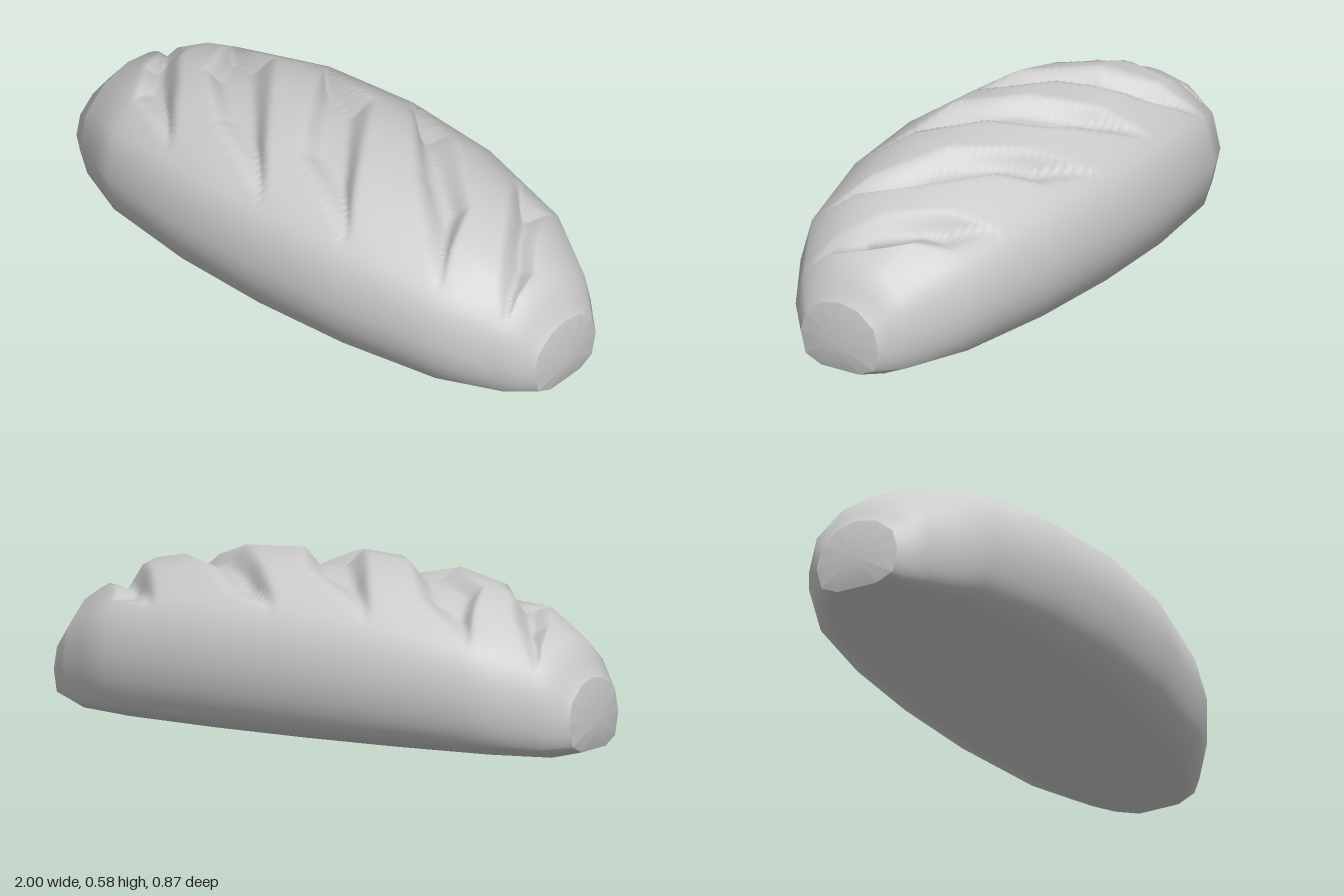
import * as THREE from 'three';

// Cross-section at the middle of the loaf: z, y (closed ring, flat base)
const SECTION = [
  [0.21, 0], [0.38, 0.065], [0.435, 0.25], [0.38, 0.43], [0.2, 0.55], [0, 0.585],
  [-0.2, 0.55], [-0.38, 0.43], [-0.435, 0.25], [-0.38, 0.065], [-0.21, 0],
].map(([z, y]) => new THREE.Vector3(z / 0.435, y / 0.585, 0));

// Half of the length: x, half width, top height
const HALF = [[0.34, 0.415, 0.565], [0.68, 0.345, 0.49], [0.88, 0.23, 0.375], [0.97, 0.15, 0.255]];
const STATIONS = [
  ...HALF.map(([x, w, t]) => [-x, w, t]).reverse(), [0, 0.435, 0.585], ...HALF,
].map((p) => new THREE.Vector3(...p));

// Slash outlines in plan: x, z
const SLASHES = [
  [[-0.88, -0.2], [-0.74, -0.1], [-0.43, 0.33], [-0.7, 0.19], [-0.81, 0.02]],
  [[-0.68, -0.3], [-0.43, -0.2], [0, 0.37], [-0.34, 0.2], [-0.56, 0]],
  [[-0.34, -0.36], [0, -0.18], [0.34, 0.35], [0, 0.18]],
  [[0, -0.38], [0.22, -0.31], [0.57, 0], [0.68, 0.29], [0.34, 0]],
  [[0.5, -0.33], [0.68, -0.26], [0.85, 0], [0.88, 0.2], [0.68, -0.06]],
];
const DEPTH = 0.06, WALL = 0.05;
const ROWS = (STATIONS.length - 1) * 32, COLS = SECTION.length * 10;

// Point on a polyline, straight or rounded, with the same parameter
function sampler(points, closed, rounded) {
  const curve = new THREE.CatmullRomCurve3(points, closed, 'catmullrom', 0.5);
  const n = closed ? points.length : points.length - 1;
  return (t) => {
    if (rounded) return curve.getPoint(t);
    const i = Math.min(Math.floor(t * n + 1e-9), n - 1);
    return points[i].clone().lerp(points[(i + 1) % points.length], t * n - i);
  };
}

// How deep the slashes cut at a plan position
function cutDepth(x, z) {
  let depth = 0;
  for (const poly of SLASHES) {
    let inside = false, dist = Infinity;
    poly.forEach(([ax, az], i) => {
      const [bx, bz] = poly[(i + 1) % poly.length];
      if ((az > z) !== (bz > z) && x < ax + (bx - ax) * (z - az) / (bz - az)) inside = !inside;
      const dx = bx - ax, dz = bz - az;
      const k = THREE.MathUtils.clamp(((x - ax) * dx + (z - az) * dz) / (dx * dx + dz * dz), 0, 1);
      dist = Math.min(dist, Math.hypot(x - ax - k * dx, z - az - k * dz));
    });
    if (inside) depth = Math.max(depth, DEPTH * Math.min(1, dist / WALL));
  }
  return depth;
}

// Loft the section along the loaf and press the slashes inwards
function loft(rounded) {
  const along = sampler(STATIONS, false, rounded), around = sampler(SECTION, true, rounded);
  const ring = Array.from({ length: COLS }, (_, j) => around(j / COLS));
  const positions = [], index = [];
  for (let i = 0; i <= ROWS; i++) {
    const { x, y: width, z: top } = along(i / ROWS);
    const base = Math.max(0, (Math.abs(x) - 0.88) / 0.09) * 0.02;
    const coreY = base + (top - base) * 0.35;
    for (let j = 0; j < COLS; j++) {
      let z = ring[j].x * width, y = base + (top - base) * ring[j].y;
      if (ring[j].y > 0.43) {
        const k = 1 - cutDepth(x, z) / Math.hypot(z, y - coreY);
        z *= k;
        y = coreY + (y - coreY) * k;
      }
      positions.push(x, y, z);
      if (i < ROWS) {
        const a = i * COLS + j, b = i * COLS + (j + 1) % COLS;
        index.push(a, a + COLS, b + COLS, a, b + COLS, b);
      }
    }
  }
  const geometry = new THREE.BufferGeometry();
  geometry.setAttribute('position', new THREE.Float32BufferAttribute(positions, 3));
  geometry.setIndex(index);
  geometry.computeVertexNormals();
  return geometry;
}

// Shallow pointed cap on one end ring
function endCap(body, side) {
  const p = body.attributes.position, start = side > 0 ? ROWS * COLS : 0;
  const positions = [side, 0.12, 0], index = [];
  for (let j = 0; j < COLS; j++) {
    positions.push(p.getX(start + j), p.getY(start + j), p.getZ(start + j));
    const a = j + 1, b = (j + 1) % COLS + 1;
    index.push(0, ...(side > 0 ? [b, a] : [a, b]));
  }
  const geometry = new THREE.BufferGeometry();
  geometry.setAttribute('position', new THREE.Float32BufferAttribute(positions, 3));
  geometry.setIndex(index);
  geometry.computeVertexNormals();
  return geometry;
}

export function createModel() {
  const model = new THREE.Group();
  model.name = 'breadLoaf';
  const material = new THREE.MeshStandardMaterial({ color: 0xcccccc });
  const add = (name, geometry) => {
    const mesh = new THREE.Mesh(geometry, material);
    mesh.name = name;
    model.add(mesh);
  };

  // Low-poly outline shaded with the normals of the rounded loaf
  const body = loft(false);
  body.setAttribute('normal', loft(true).attributes.normal);
  add('slashedCrust', body);
  add('leftEnd', endCap(body, 1));
  add('rightEnd', endCap(body, -1));
  return model;
}
